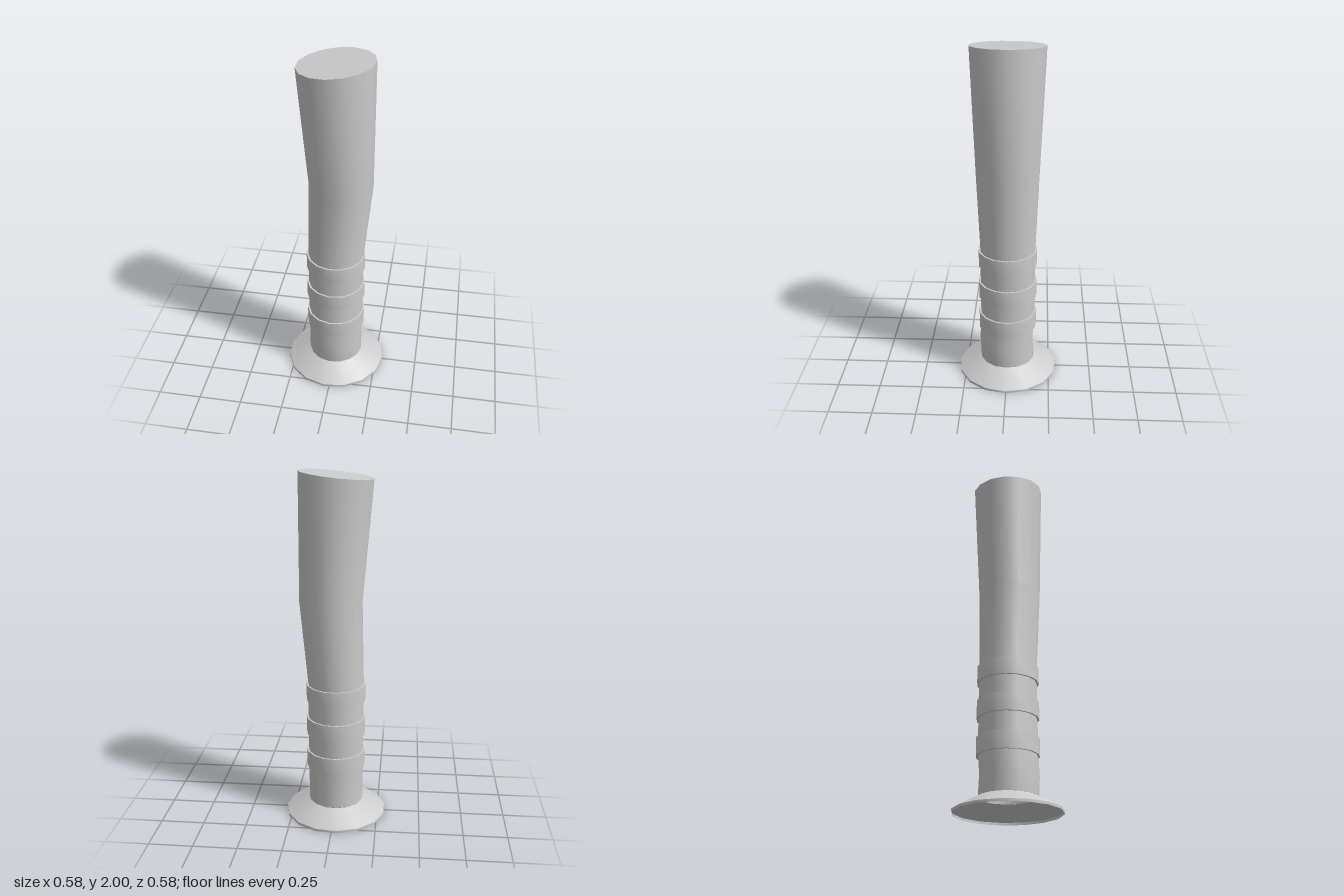
import * as THREE from 'three';
import { toCreasedNormals } from 'three/addons/utils/BufferGeometryUtils.js';

const SIDES = 15;
const AXIS_X = -0.003;
const material = new THREE.MeshStandardMaterial({ color: 0xcccccc, side: THREE.DoubleSide });

// Revolved profile of [radius, y] pairs with a corner on +x
function revolve(profile) {
  const points = profile.map(([r, y]) => new THREE.Vector2(r, y));
  return new THREE.LatheGeometry(points, SIDES, Math.PI / 2);
}

function makeMesh(name, geometry) {
  const mesh = new THREE.Mesh(toCreasedNormals(geometry, 0.65), material);
  mesh.name = name;
  return mesh;
}

// Bent, widening tube: open below, closed by a slanted cap
function makeTube() {
  // radius, height, centre x, centre z
  const sections = [
    [0.160, 0.085, -0.003, 0.003],
    [0.160, 0.20, -0.003, 0.008],
    [0.161, 0.32, -0.003, 0],
    [0.161, 0.80, -0.003, 0],
    [0.178, 1.28, 0.026, 0],
    [0.206, 1.979, -0.003, 0],
    [0, 1.979, -0.003, 0],
  ];
  const geometry = revolve(sections);
  const pos = geometry.attributes.position;
  for (let i = 0; i < pos.count; i++) {
    const row = i % sections.length;
    const [, y, cx, cz] = sections[row];
    const x = pos.getX(i) + cx;
    const slant = row >= sections.length - 2 ? 0.105 * x : 0;
    pos.setXYZ(i, x, y + slant, pos.getZ(i) + cz);
  }
  return makeMesh('tube', geometry);
}

export function createModel() {
  const model = new THREE.Group();
  model.name = 'flaredTube';
  model.add(makeTube());

  // Hollow conical foot with a thin upright rim
  const foot = makeMesh('foot', revolve([[0.294, 0], [0.294, 0.014], [0.160, 0.085]]));
  foot.position.x = AXIS_X;
  model.add(foot);

  // Raised bands around the lower tube
  for (const [bottom, top] of [[0.30, 0.40], [0.505, 0.605], [0.71, 0.805]]) {
    const band = makeMesh('band', revolve([[0.159, bottom], [0.171, bottom], [0.171, top], [0.159, top]]));
    band.position.x = AXIS_X;
    model.add(band);
  }
  return model;
}
